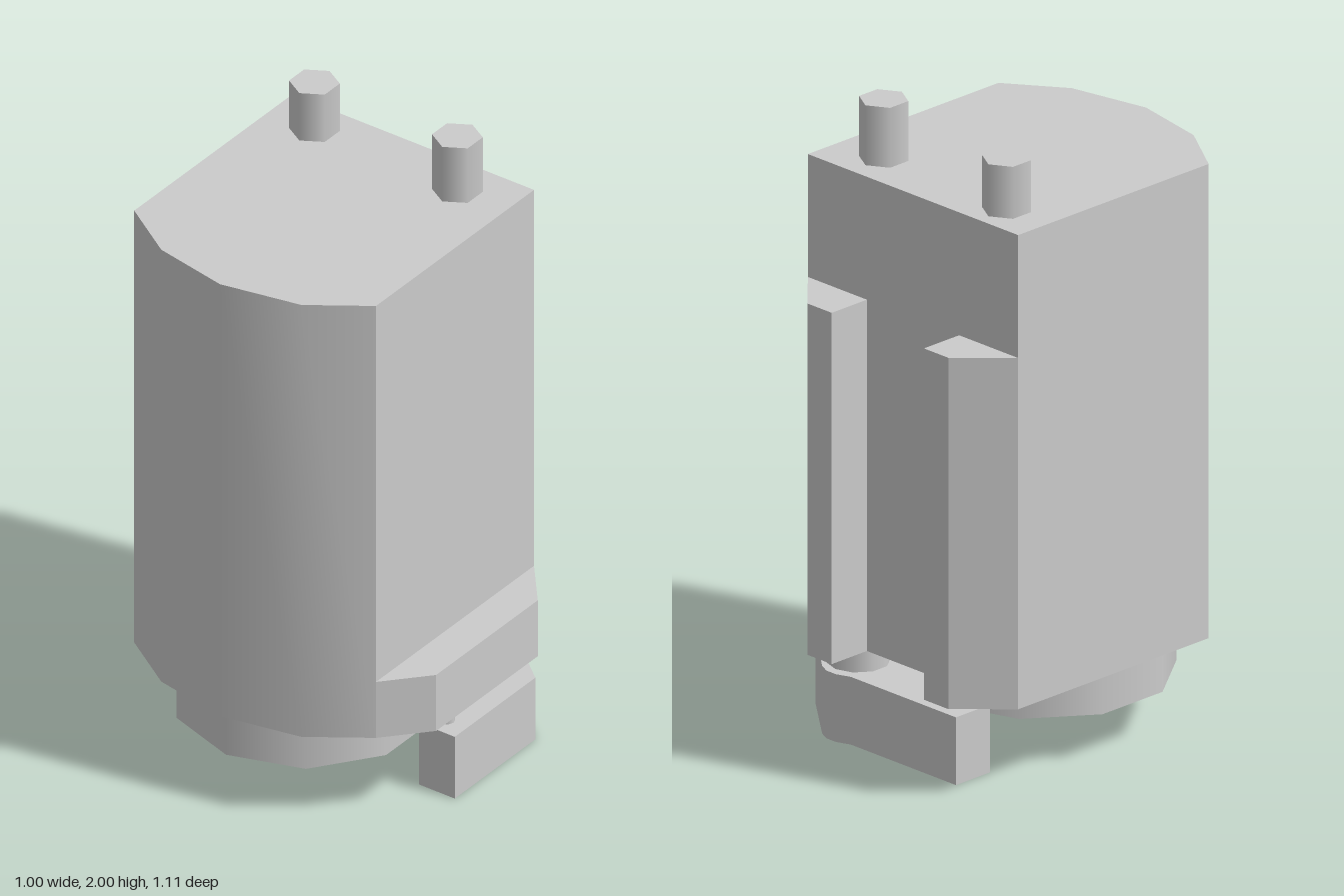
import * as THREE from 'three';
import { toCreasedNormals } from 'three/addons/utils/BufferGeometryUtils.js';

export function createModel() {
  const model = new THREE.Group();
  const material = new THREE.MeshStandardMaterial({ color: 0xcccccc });

  function add(name, geometry) {
    const mesh = new THREE.Mesh(geometry, material);
    mesh.name = name;
    model.add(mesh);
    return mesh;
  }

  // Upright prism from an [x, z] outline
  function prism(name, outline, y0, y1) {
    const shape = new THREE.Shape(outline.map(([x, z]) => new THREE.Vector2(x, -z)));
    const geometry = new THREE.ExtrudeGeometry(shape, { depth: y1 - y0, bevelEnabled: false });
    geometry.rotateX(-Math.PI / 2).translate(0, y0, 0);
    return add(name, toCreasedNormals(geometry, 0.6));
  }

  // Upright cylinder with a corner towards +z
  function post(name, x, z, radius, y0, y1, sides) {
    const geometry = new THREE.CylinderGeometry(radius, radius, y1 - y0, sides);
    return add(name, geometry.translate(x, (y0 + y1) / 2, z));
  }

  // Main housing with a faceted, rounded front
  prism('housing', [
    [-0.5, -0.41], [-0.5, 0.375], [-0.31, 0.5], [-0.06, 0.55],
    [0.2, 0.5], [0.38, 0.375], [0.38, -0.41],
  ], 0.305, 1.81);

  // Low flange on the side
  prism('sideFlange', [[0.38, -0.41], [0.38, 0.375], [0.5, 0.24], [0.5, -0.265]], 0.305, 0.5);

  // Two bevelled rails on the back
  for (const side of [-1, 1]) {
    prism(side < 0 ? 'rightRail' : 'leftRail',
      [[0.44, -0.41], [0.295, -0.555], [0.193, -0.555], [0.193, -0.41]]
        .map(([x, z]) => [-0.06 + side * x, z]), 0.305, 1.42);
  }

  // Terminals on top
  post('rightTerminal', -0.335, -0.295, 0.075, 1.81, 1.975, 6);
  post('leftTerminal', 0.2, -0.275, 0.075, 1.81, 2, 6);

  // Round neck below the housing
  post('neck', -0.06, 0.12, 0.4, 0.155, 0.305, 10);

  // Angled bracket hugging the neck
  prism('bracket', [
    [0.48, 0.12], [0.48, -0.28], [0.3, -0.43], [0.265, -0.447], [0.225, -0.447],
    [0.18, -0.43], [-0.26, -0.43], [-0.26, -0.29], [-0.06, -0.28],
    [0.175, -0.204], [0.32, -0.004], [0.35, 0.12],
  ], 0, 0.215);

  // Pins joining bracket and housing
  post('pivotPin', 0.255, -0.325, 0.095, 0.215, 0.305, 10);
  post('sidePin', 0.407, 0.06, 0.025, 0.215, 0.305, 8);
  post('backPin', -0.155, -0.36, 0.025, 0.215, 0.305, 8);

  return model;
}
